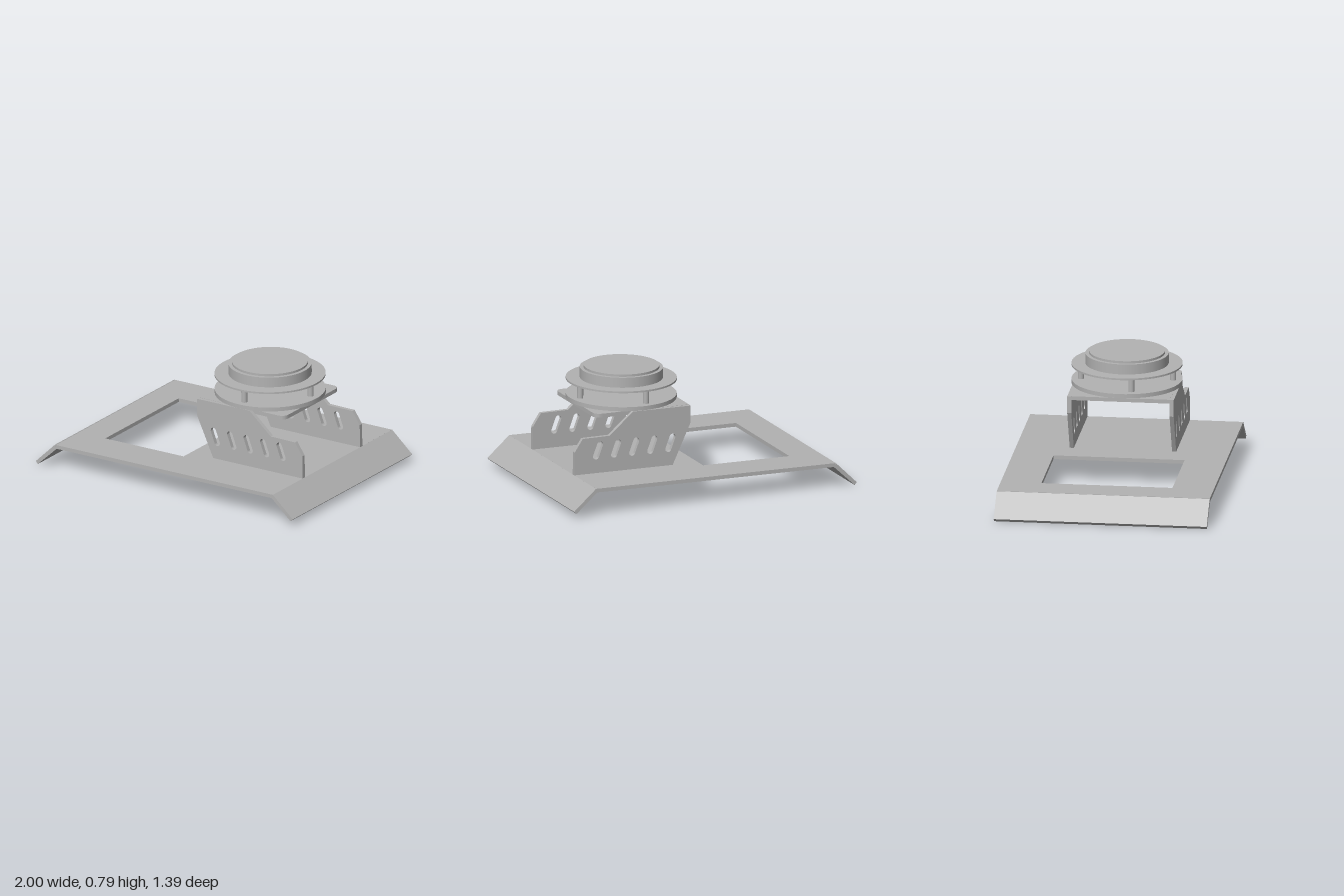
import * as THREE from 'three';

const metal = new THREE.MeshStandardMaterial({ color: 0xb2b2b2 });
metal.name = 'plainGrey';
const TILT = 0.013;

function add(parent, name, geometry, x = 0, y = 0, z = 0) {
  const mesh = new THREE.Mesh(geometry, metal);
  mesh.name = name;
  mesh.position.set(x, y, z);
  parent.add(mesh);
  return mesh;
}

const polygon = (points) => new THREE.Shape(points.map(([x, y]) => new THREE.Vector2(x, y)));

// Extrude an outline along z, centred on z = 0
function extrude(shape, depth) {
  return new THREE.ExtrudeGeometry(shape, { depth, bevelEnabled: false, curveSegments: 10 })
    .translate(0, 0, -depth / 2);
}

// Flat sheet drawn as seen from above, with its middle on y = 0
const sheet = (shape, thickness) => extrude(shape, thickness).rotateX(-Math.PI / 2);

// Slanted slot with round ends
function slot(x, y) {
  const half = 0.042, r = 0.021, lean = 0.36;
  const path = new THREE.Path();
  const dx = -Math.sin(lean) * half, dy = Math.cos(lean) * half;
  path.absarc(x + dx, y + dy, r, lean, lean + Math.PI);
  path.absarc(x - dx, y - dy, r, lean + Math.PI, lean + 2 * Math.PI);
  path.closePath();
  return path;
}

function disc(parent, name, radius, bottom, top, segments = 72) {
  return add(parent, name, new THREE.CylinderGeometry(radius, radius, top - bottom, segments), 0, (bottom + top) / 2, 0);
}

export function createModel() {
  const model = new THREE.Group();
  model.name = 'sensorMount';

  // Base plate with a rectangular window, rising slightly to +x
  const base = new THREE.Group();
  base.name = 'base';
  model.add(base);
  const plate = polygon([[-0.845, -0.695], [0.845, -0.695], [0.845, 0.695], [-0.845, 0.695]]);
  plate.holes.push(polygon([[-0.64, -0.425], [-0.64, 0.43], [-0.03, 0.43], [-0.03, -0.425]]));
  add(base, 'basePlate', sheet(plate, 0.025), 0, 0.1635, 0).rotation.z = TILT;

  // Bent end flaps
  add(base, 'rightFlap', extrude(polygon([[-0.852, 0.165], [-1, 0.02], [-0.985, 0.002], [-0.838, 0.14]]), 1.39));
  add(base, 'leftFlap', extrude(polygon([[0.845, 0.187], [0.836, 0.162], [0.982, 0.034], [1, 0.05]]), 1.39));

  // Bracket: two slotted side walls and a top plate
  const bracket = new THREE.Group();
  bracket.name = 'bracket';
  model.add(bracket);
  const wall = polygon([[0.15, 0.175], [0.845, 0.18], [0.842, 0.34], [0.785, 0.425],
    [0.595, 0.425], [0.43, 0.568], [0.022, 0.562], [0.022, 0.45]]);
  for (let i = 0; i < 5; i++) wall.holes.push(slot(0.165 + i * 0.128, 0.328 + i * 0.002));
  for (const side of [-1, 1]) add(bracket, 'sideWall', extrude(wall, 0.027), 0, 0, side * 0.334);

  const top = new THREE.Shape();
  top.moveTo(-0.338, -0.322);
  top.lineTo(0.27, -0.322);
  top.quadraticCurveTo(0.325, -0.322, 0.325, -0.267);
  top.lineTo(0.325, 0.267);
  top.quadraticCurveTo(0.325, 0.322, 0.27, 0.322);
  top.lineTo(-0.338, 0.322);
  top.closePath();
  add(bracket, 'topPlate', sheet(top, 0.026), 0.36, 0.555, 0).rotation.z = TILT;

  // Round unit: two discs held apart by posts, with a drum and cap on top
  const turret = new THREE.Group();
  turret.name = 'turret';
  turret.position.set(0.36, 0.57, 0);
  turret.rotation.z = 0.01;
  model.add(turret);
  disc(turret, 'lowerDisc', 0.36, 0.003, 0.03);
  disc(turret, 'upperDisc', 0.36, 0.124, 0.136);
  disc(turret, 'drum', 0.27, 0.134, 0.203);
  disc(turret, 'cap', 0.246, 0.2, 0.218);
  for (const [x, z] of [[0, 0.3], [0.3, -0.022], [-0.045, -0.295], [-0.29, 0.065]]) {
    const post = disc(turret, 'post', 0.02, 0.028, 0.126, 20);
    post.position.x = x;
    post.position.z = z;
  }
  return model;
}
